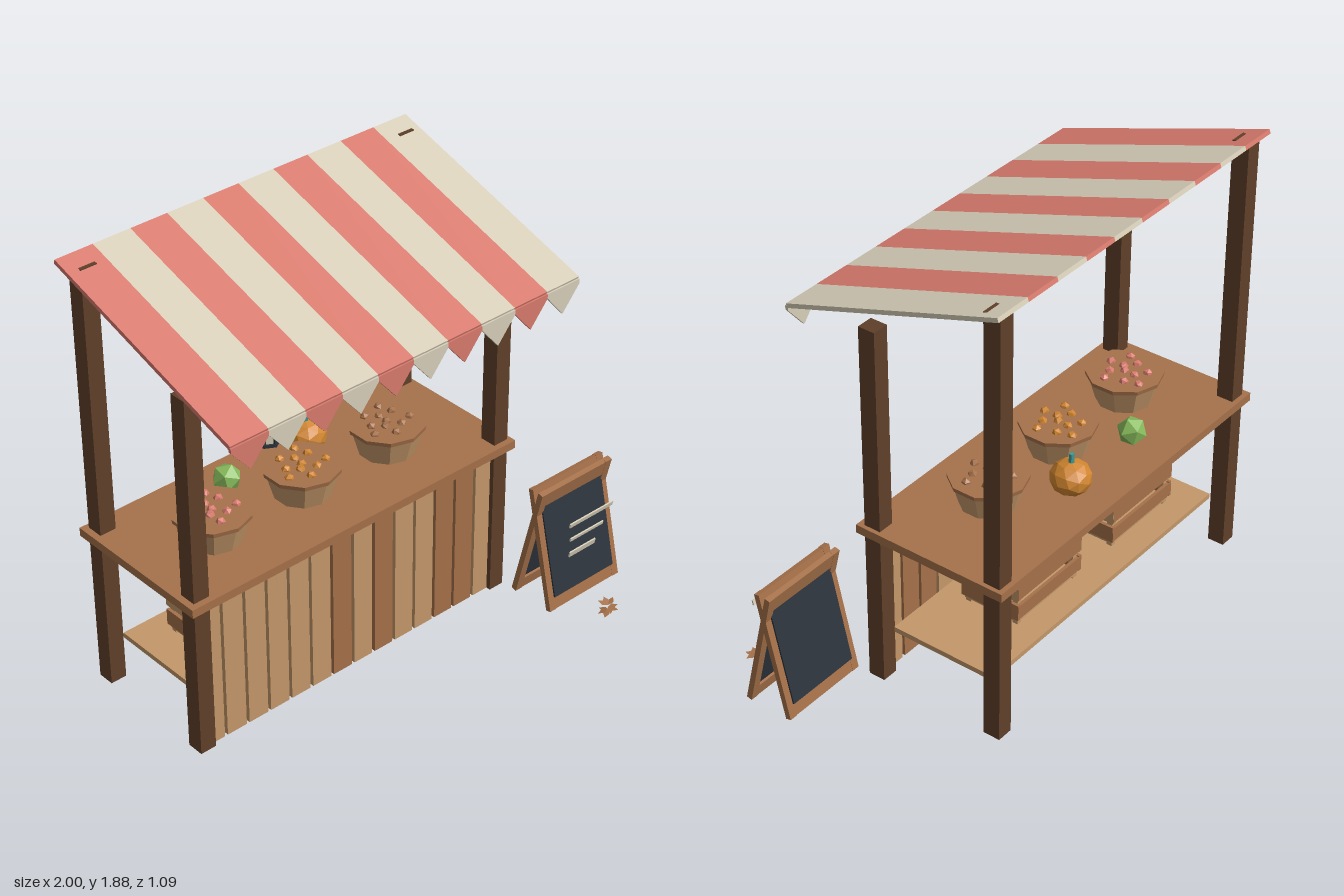
import * as THREE from 'three';

const mat = (name, hex, extra = {}) => {
  const m = new THREE.MeshStandardMaterial({ color: hex, ...extra });
  m.name = name;
  return m;
};
const RED = mat('red', 0xd97b6e);
const CREAM = mat('cream', 0xd8cfb9);
const TAN = mat('tan wood', 0xc4986a);
const BROWN = mat('mid brown', 0xa6714a, { side: THREE.DoubleSide });
const DARK = mat('dark wood', 0x5f4029);
const SLATE = mat('slate', 0x2c343c);
const ORANGE = mat('orange', 0xd0852f);
const GREEN = mat('green', 0x86b85a);
const TEAL = mat('teal', 0x3f9a96);
const PURPLE = mat('purple', 0xa08cd0);

// Faceted normals
function flat(g) {
  const r = g.index ? g.toNonIndexed() : g;
  r.computeVertexNormals();
  return r;
}

function add(parent, name, geo, material, x = 0, y = 0, z = 0) {
  const m = new THREE.Mesh(geo, material);
  m.name = name;
  m.position.set(x, y, z);
  parent.add(m);
  return m;
}
const box = (p, name, material, w, h, d, x, y, z) =>
  add(p, name, new THREE.BoxGeometry(w, h, d), material, x, y, z);

function group(parent, name, x = 0, y = 0, z = 0) {
  const g = new THREE.Group();
  g.name = name;
  g.position.set(x, y, z);
  parent.add(g);
  return g;
}

// Faceted lump for fruit and vegetables
function lump(p, name, material, r, x, y, z, turn = 0, detail = 0) {
  const m = add(p, name, flat(new THREE.IcosahedronGeometry(r, detail)), material, x, y, z);
  m.rotation.set(turn * 0.7, turn, turn * 0.4);
  return m;
}

// Sloping striped canopy with a pointed valance
function buildAwning(root) {
  const awning = group(root, 'awning');
  const n = 10, w = 0.164;
  for (let i = 0; i < n; i++) {
    const x = -1 + w * (i + 0.5);
    const m = i % 2 ? CREAM : RED;
    const stripe = box(awning, 'awningStripe', m, w, 0.018, 0.985, x, 1.717, -0.07);
    stripe.rotation.x = Math.atan2(0.305, 0.94);
    const s = new THREE.Shape();
    s.moveTo(-w / 2, 0);
    s.lineTo(-w / 2, -0.018);
    s.lineTo(0, -0.115);
    s.lineTo(w / 2, -0.018);
    s.lineTo(w / 2, 0);
    const g = new THREE.ExtrudeGeometry(s, { depth: 0.012, bevelEnabled: false });
    add(awning, 'valancePoint', g, m, x, 1.565, 0.393);
  }
}

// Posts, counter, front cladding and shelf
function buildStand(root) {
  const stand = group(root, 'stand');
  for (const x of [-0.918, 0.572]) {
    box(stand, 'frontPost', DARK, 0.07, 1.565, 0.072, x, 0.7975, 0.062);
    box(stand, 'backPost', DARK, 0.07, 1.84, 0.072, x, 0.935, -0.488);
  }
  box(stand, 'counterTop', BROWN, 1.605, 0.036, 0.67, -0.178, 0.701, -0.21);
  box(stand, 'shelf', TAN, 1.43, 0.022, 0.468, -0.173, 0.223, -0.209);
  const brownPlanks = [6, 8, 11, 12];
  for (let i = 0; i < 14; i++) {
    const m = brownPlanks.includes(i) ? BROWN : TAN;
    box(stand, 'frontPlank', m, 0.092, 0.668, 0.022, -0.87 + i * 0.1058, 0.349, 0.068);
  }
}

// Ten-sided basket filled with small produce
function buildBasket(root, x, material) {
  const b = group(root, 'basket', x, 0.719, -0.17);
  add(b, 'basketBody', flat(new THREE.CylinderGeometry(0.147, 0.113, 0.118, 10)), TAN, 0, 0.059, 0);
  add(b, 'basketRim', flat(new THREE.CylinderGeometry(0.156, 0.153, 0.018, 10)), BROWN, 0, 0.116, 0);
  for (let i = 0; i < 11; i++) {
    const r = 0.034 * Math.sqrt(i), a = i * 2.4;
    lump(b, 'basketProduce', material, 0.02, r * Math.cos(a), 0.124, r * Math.sin(a), i);
  }
}

// Slatted crate filled with vegetables
function buildCrate(root, x, material) {
  const c = group(root, 'crate', x, 0.235, -0.21);
  const W = 0.4, D = 0.27;
  box(c, 'crateFloor', TAN, W - 0.02, 0.015, D - 0.02, 0, 0.02, 0);
  for (const s of [-1, 1]) {
    for (const t of [-1, 1])
      box(c, 'cratePost', TAN, 0.024, 0.2, 0.024, s * (W / 2 - 0.024), 0.1, t * (D / 2 - 0.024));
    for (const [y, h, m] of [[0.065, 0.07, BROWN], [0.16, 0.08, TAN]]) {
      box(c, 'crateEndSlat', m, 0.014, h, D, s * (W / 2 - 0.006), y, 0);
      box(c, 'crateSideSlat', BROWN, W, h - 0.01, 0.014, 0, y, s * (D / 2 - 0.006));
    }
  }
  for (let i = 0; i < 6; i++)
    for (let j = 0; j < 4; j++) {
      const m = material === GREEN && (i + j * 2) % 5 === 0 ? RED : material;
      const v = lump(c, 'crateProduce', m, 0.036, -0.15 + i * 0.06, 0.16 + ((i * 3 + j) % 3) * 0.008,
        -0.09 + j * 0.06, i * 1.3 + j);
      v.scale.y = 0.85;
    }
}

// Folding sandwich board
function buildSign(root) {
  const sign = group(root, 'signBoard', 0.805, 0.283, 0.2605);
  for (const back of [false, true]) {
    const side = group(sign, back ? 'signBack' : 'signFront');
    side.rotation.y = back ? Math.PI : 0;
    const leaf = group(side, 'signLeaf', 0, 0, 0.036);
    leaf.rotation.x = -0.23;
    for (const s of [-1, 1])
      box(leaf, 'signStile', BROWN, 0.034, 0.545, 0.024, s * 0.178, 0, 0);
    box(leaf, 'signTopRail', BROWN, 0.33, 0.07, 0.022, 0, 0.2365, 0);
    box(leaf, 'signBottomRail', BROWN, 0.33, 0.055, 0.022, 0, -0.244, 0);
    box(leaf, 'slatePanel', SLATE, 0.332, 0.41, 0.02, 0, -0.012, 0.009);
  }
  // Chalk strokes
  for (const [w, h, y, z] of [[0.24, 0.02, 0.415, 0.383], [0.185, 0.015, 0.323, 0.363], [0.145, 0.026, 0.231, 0.344]])
    box(root, 'chalkLine', CREAM, w, h, 0.006, 0.803, y, z).rotation.x = 0.22;
}

// Six-sided hanging lantern
function buildLantern(root) {
  const l = group(root, 'lantern', -0.727, 1.4, 0.265);
  const cyl = (name, m, rt, rb, h, y) =>
    add(l, name, flat(new THREE.CylinderGeometry(rt, rb, h, 6)), m, 0, y, 0);
  cyl('lanternBase', SLATE, 0.045, 0.045, 0.012, 0.006);
  cyl('lanternGlass', CREAM, 0.037, 0.037, 0.076, 0.05);
  cyl('lanternCollar', SLATE, 0.042, 0.042, 0.008, 0.088);
  cyl('lanternRoof', TEAL, 0.014, 0.06, 0.056, 0.12);
  cyl('lanternCap', TEAL, 0.01, 0.014, 0.02, 0.158);
  for (let i = 0; i < 6; i++) {
    const a = i * Math.PI / 3;
    box(l, 'lanternBar', SLATE, 0.009, 0.085, 0.009, 0.038 * Math.sin(a), 0.047, 0.038 * Math.cos(a));
  }
}

// Small crumpled cluster of dry leaves
function buildLeaves(root) {
  const leaves = group(root, 'dryLeaves', 0.8, 0.025, 0.505);
  const s = new THREE.Shape();
  s.moveTo(0, 0);
  s.lineTo(0.014, 0.022);
  s.lineTo(0, 0.044);
  s.lineTo(-0.014, 0.022);
  const g = new THREE.ShapeGeometry(s);
  for (let i = 0; i < 9; i++) {
    const leaf = add(leaves, 'dryLeaf', g, BROWN, 0, (i % 3 - 1) * 0.01, 0);
    leaf.rotation.order = 'YXZ';
    leaf.rotation.set(-Math.PI / 2 + (i % 3 - 1) * 0.3, i * 2.4, 0.2);
  }
}

export function createModel() {
  const root = new THREE.Group();
  root.name = 'marketStall';
  buildStand(root);
  buildAwning(root);
  buildBasket(root, -0.65, RED);
  buildBasket(root, -0.215, ORANGE);
  buildBasket(root, 0.215, BROWN);
  buildCrate(root, 0.06, PURPLE);
  buildCrate(root, -0.55, GREEN);

  // Loose vegetables on the counter
  lump(root, 'cabbage', GREEN, 0.06, -0.418, 0.774, -0.37, 0.5);
  const pumpkin = lump(root, 'pumpkin', ORANGE, 0.083, -0.018, 0.789, -0.375, 0, 1);
  pumpkin.scale.y = 0.85;
  add(root, 'pumpkinStem', flat(new THREE.CylinderGeometry(0.01, 0.014, 0.05, 6)), TEAL, -0.02, 0.868, -0.375);

  buildSign(root);
  buildLantern(root);
  buildLeaves(root);
  return root;
}
